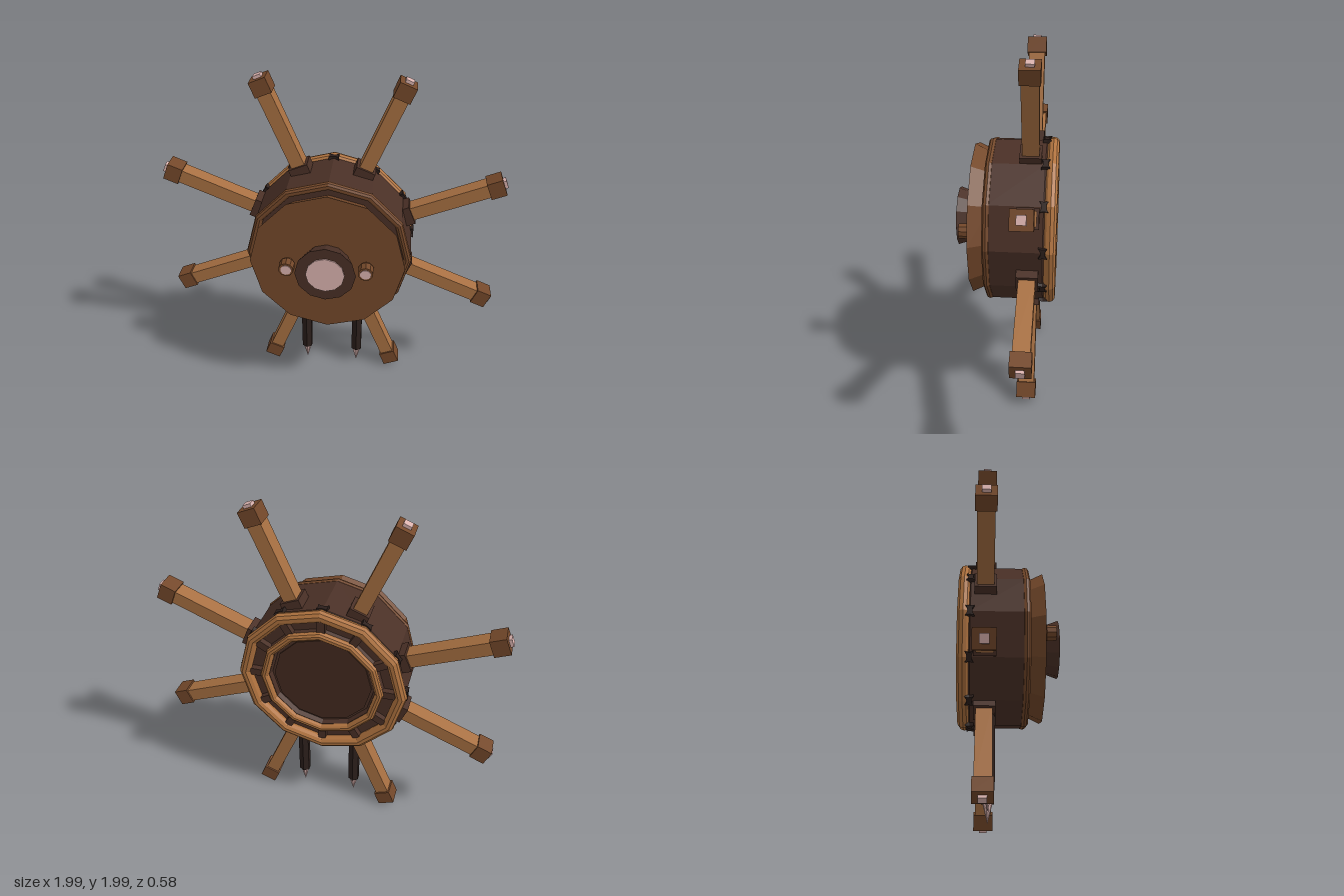
import * as THREE from 'three';

const mat = (color) => new THREE.MeshStandardMaterial({ color, flatShading: true });
const MAT = {
  dark: mat(0x4a3026), wood: mat(0xa87042), brown: mat(0x74482a),
  rim: mat(0xb0733f), pale: mat(0xdcb4b0), iron: mat(0x2c1f1b), disc: mat(0x452b20),
};

export function createModel() {
  const model = new THREE.Group();
  const wheel = new THREE.Group();
  wheel.name = 'wheel';
  wheel.position.y = 1;
  model.add(wheel);

  const add = (parent, name, geometry, material, x = 0, y = 0, z = 0) => {
    const mesh = new THREE.Mesh(geometry, material);
    mesh.name = name;
    mesh.position.set(x, y, z);
    parent.add(mesh);
    return mesh;
  };
  // Turned part about the z axis; profile is [radius, z] from back to front
  const turned = (name, profile, material, sides = 12, x = 0) => add(wheel, name,
    new THREE.LatheGeometry(profile.map(([r, z]) => new THREE.Vector2(r, z)), sides).rotateX(Math.PI / 2),
    material, x);
  const ring = (name, radius, tube, z, material) =>
    add(wheel, name, new THREE.TorusGeometry(radius, tube, 10, 12), material, 0, 0, z);

  // Drum with a shallow recess in its back
  turned('drum', [[0, -0.235], [0.3, -0.235], [0.31, -0.265], [0.35, -0.265], [0.36, -0.235],
    [0.46, -0.235], [0.475, -0.22], [0.475, 0.08], [0, 0.08]], MAT.dark);
  turned('backDisc', [[0, -0.245], [0.285, -0.245], [0.285, -0.23]], MAT.disc);
  ring('frontRing', 0.457, 0.024, 0.083, MAT.brown);
  ring('backRing', 0.456, 0.034, -0.258, MAT.rim);
  ring('innerBackRing', 0.335, 0.024, -0.27, MAT.rim);

  // Flared face plate and hub
  turned('facePlate', [[0.39, 0.07], [0.445, 0.187], [0, 0.187]], MAT.brown);
  turned('hub', [[0.135, 0.18], [0.173, 0.285], [0.11, 0.285], [0.11, 0.28]], MAT.dark);
  turned('hubCap', [[0.11, 0.18], [0.11, 0.292], [0, 0.292]], MAT.pale);
  for (const s of [-1, 1]) {
    turned('peg', [[0.036, 0.18], [0.036, 0.2], [0.045, 0.205], [0.043, 0.26], [0, 0.26]], MAT.brown, 10, s * 0.225);
    turned('pegCap', [[0.031, 0.25], [0.031, 0.264], [0, 0.264]], MAT.pale, 10, s * 0.225);
  }

  // Clamps around the back edge, notched on the outside, with short spokes between the rings
  const clampShape = new THREE.Shape([[-0.03, -0.024], [-0.012, -0.014], [0.012, -0.014], [0.03, -0.024],
    [0.026, 0], [0.03, 0.024], [0.012, 0.014], [-0.012, 0.014], [-0.03, 0.024], [-0.026, 0]]
    .map(([x, y]) => new THREE.Vector2(x, y)));
  const clampGeo = new THREE.ExtrudeGeometry(clampShape, { depth: 0.045, bevelEnabled: false }).rotateX(-Math.PI / 2);
  for (let i = 0; i < 12; i++) {
    const clamp = new THREE.Group();
    clamp.name = 'clamp';
    clamp.rotation.z = i * Math.PI / 6;
    add(clamp, 'clampJaw', clampGeo, MAT.iron, 0, 0.443, -0.222);
    add(clamp, 'clampSpoke', new THREE.BoxGeometry(0.045, 0.1, 0.04), MAT.dark, 0, 0.395, -0.25);
    wheel.add(clamp);
  }

  // Eight radial arms
  for (let i = 0; i < 8; i++) {
    const arm = new THREE.Group();
    arm.name = 'arm';
    arm.rotation.z = (i + 0.5) * Math.PI / 4;
    arm.position.z = -0.14;
    add(arm, 'armSocket', new THREE.BoxGeometry(0.115, 0.07, 0.12), MAT.dark, 0, 0.473, 0);
    add(arm, 'armBeam', new THREE.BoxGeometry(0.08, 0.52, 0.092), MAT.wood, 0, 0.73, 0);
    add(arm, 'armEnd', new THREE.BoxGeometry(0.1, 0.09, 0.11), MAT.brown, 0, 1.008, 0);
    add(arm, 'armTip', new THREE.BoxGeometry(0.046, 0.04, 0.046), MAT.pale, 0, 1.05, 0);
    wheel.add(arm);
  }

  // Two pointed legs
  for (const s of [-1, 1]) {
    add(model, 'leg', new THREE.CylinderGeometry(0.036, 0.036, 0.46, 6), MAT.iron, s * 0.165, 0.35, -0.115);
    add(model, 'legPoint', new THREE.ConeGeometry(0.029, 0.115, 10).rotateX(Math.PI), MAT.pale, s * 0.165, 0.0675, -0.115);
  }
  return model;
}
